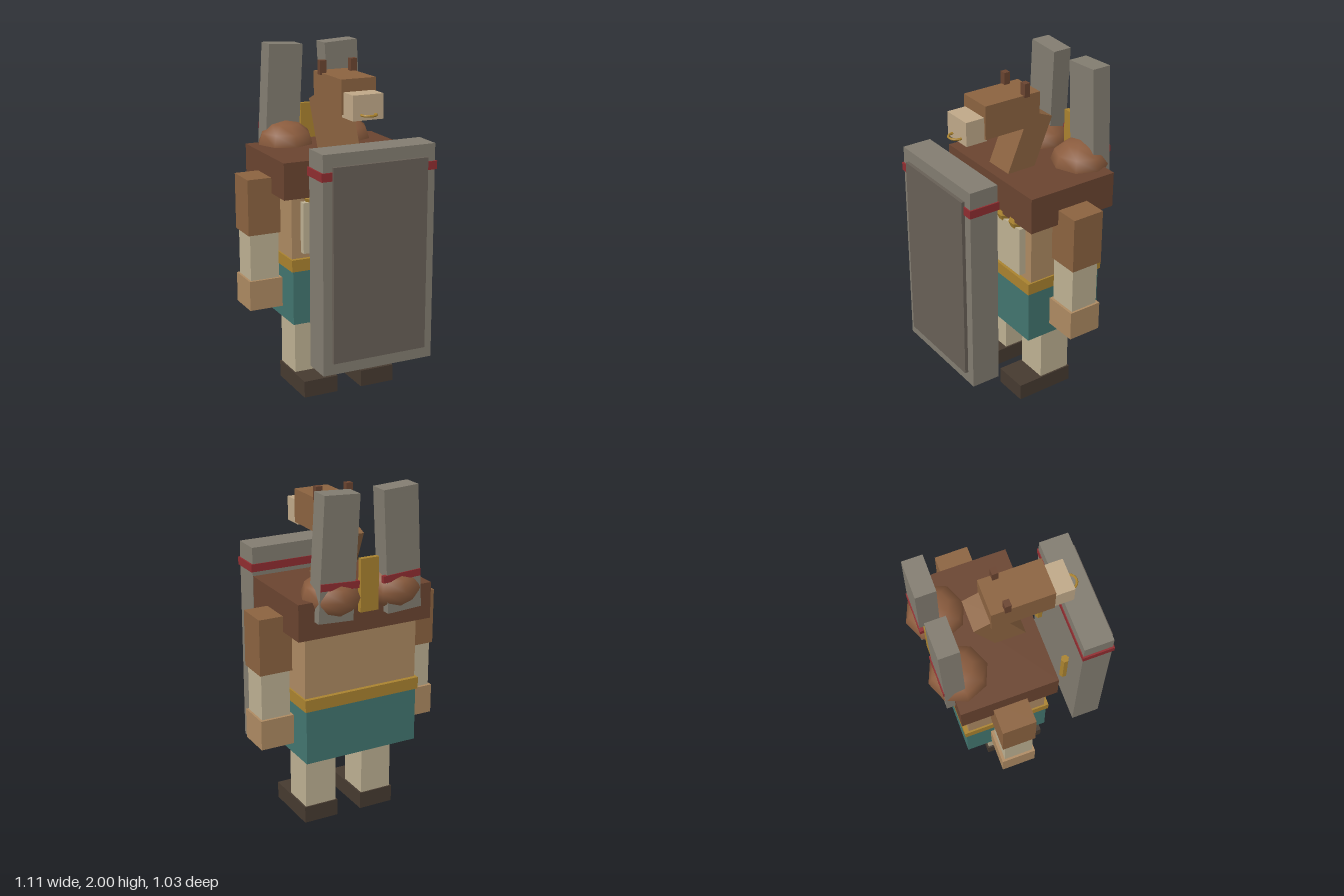
import * as THREE from 'three';

const paint = (color, flatShading = true) => new THREE.MeshStandardMaterial({ color, flatShading });
const hide = paint(0x8b6340), darkHide = paint(0x6a4430), skin = paint(0xad8a62), wrap = paint(0xbdb092),
  muzzle = paint(0xbfa888), cloth = paint(0x42756f), gold = paint(0xa9822f), stone = paint(0x827c70),
  slate = paint(0x675f56), red = paint(0x8f2d30), boot = paint(0x463a30), pad = paint(0x8b5c3e, false);

export function createModel() {
  const model = new THREE.Group();

  const add = (name, geometry, material, x = 0, y = 0, z = 0) => {
    const mesh = new THREE.Mesh(geometry, material);
    mesh.name = name;
    mesh.position.set(x, y, z);
    model.add(mesh);
    return mesh;
  };
  // Box given by its limits on each axis
  const block = (name, material, [x0, x1], [y0, y1], [z0, z1]) =>
    add(name, new THREE.BoxGeometry(x1 - x0, y1 - y0, z1 - z0), material,
      (x0 + x1) / 2, (y0 + y1) / 2, (z0 + z1) / 2);
  // Box centred on x = 0
  const centred = (name, material, half, y, z) => block(name, material, [-half, half], y, z);
  // Box on both sides
  const pair = (name, material, [x0, x1], y, z) => {
    block('left' + name, material, [x0, x1], y, z);
    block('right' + name, material, [-x1, -x0], y, z);
  };

  // Trunk
  centred('shoulders', darkHide, 0.412, [1.21, 1.42], [-0.41, 0.15]);
  centred('torso', skin, 0.35, [0.775, 1.21], [-0.36, 0.105]);
  centred('belt', gold, 0.36, [0.78, 0.85], [-0.385, 0.13]);
  centred('kilt', cloth, 0.35, [0.46, 0.78], [-0.375, 0.12]);
  centred('chestPlate', wrap, 0.295, [0.885, 1.18], [0.1, 0.145]);

  // Necklace beads
  for (let i = -2; i <= 2; i++)
    add('necklaceBead', new THREE.SphereGeometry(0.048, 6, 4), gold, i * 0.115, 1.2, 0.118);

  // Legs
  pair('Thigh', hide, [0.077, 0.293], [0.42, 0.5], [-0.235, -0.015]);
  pair('Shin', wrap, [0.087, 0.28], [0.09, 0.43], [-0.222, -0.025]);
  pair('Boot', boot, [0.077, 0.29], [0, 0.1], [-0.23, 0.13]);

  // Arms
  pair('UpperArm', hide, [0.36, 0.555], [0.975, 1.3], [-0.225, -0.03]);
  pair('Forearm', wrap, [0.37, 0.543], [0.7, 0.98], [-0.21, -0.04]);
  pair('Hand', skin, [0.355, 0.556], [0.53, 0.705], [-0.227, -0.025]);

  // Neck and head
  add('neck', new THREE.BoxGeometry(0.185, 0.45, 0.165), hide, 0, 1.52, -0.051).rotation.x = -0.4;
  centred('head', hide, 0.105, [1.675, 1.87], [-0.12, 0.235]);
  centred('muzzle', muzzle, 0.092, [1.66, 1.8], [0.22, 0.35]);
  pair('Horn', darkHide, [0.075, 0.115], [1.86, 1.94], [-0.047, -0.012]);
  add('noseRing', new THREE.TorusGeometry(0.043, 0.007, 6, 20), gold, 0, 1.69, 0.355).rotation.x = Math.PI / 2;

  // Tower shield carried in front
  centred('shield', stone, 0.338, [0.285, 1.53], [0.32, 0.492]);
  centred('shieldPanel', slate, 0.285, [0.355, 1.46], [0.48, 0.512]);
  centred('shieldBand', red, 0.348, [1.385, 1.432], [0.315, 0.5]);

  for (const s of [1, -1]) {
    add('shieldGrip', new THREE.CylinderGeometry(0.024, 0.024, 0.26, 6), gold, s * 0.2, 0.945, 0.285);

    // Shoulder pads with leaning slabs
    const shoulderPad = add('shoulderPad', new THREE.SphereGeometry(1, 8, 6), pad, s * 0.187, 1.422, -0.345);
    shoulderPad.scale.set(0.168, 0.128, 0.168);
    add('backSlab', new THREE.BoxGeometry(0.21, 0.69, 0.115), stone,
      s * 0.194, 1.65, -0.402).rotation.z = s * 0.055;
    add('slabBand', new THREE.BoxGeometry(0.232, 0.04, 0.025), red,
      s * 0.19, 1.505, -0.453).rotation.z = s * 0.055;
  }

  // Plate joining the two slabs
  centred('backPlate', gold, 0.055, [1.33, 1.63], [-0.445, -0.415]);

  return model;
}
